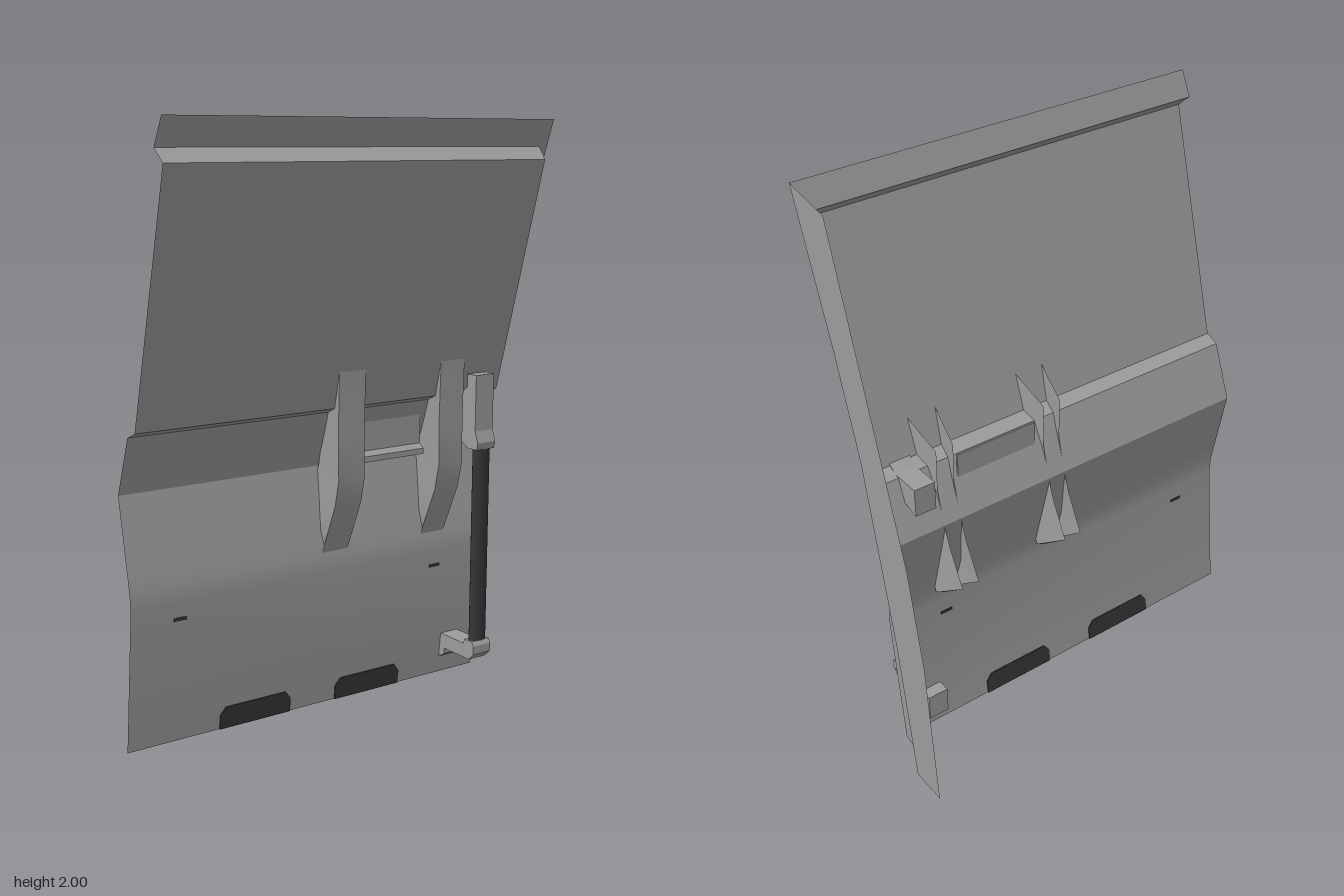
import * as THREE from 'three';
import { toCreasedNormals } from 'three/addons/utils/BufferGeometryUtils.js';

const grey = new THREE.MeshStandardMaterial({ name: 'panelGrey', color: 0x9c9c9c, side: THREE.DoubleSide });
const dark = new THREE.MeshStandardMaterial({ name: 'darkRubber', color: 0x363636, side: THREE.DoubleSide });

function mesh(name, geometry, material = grey) {
  const m = new THREE.Mesh(geometry, material);
  m.name = name;
  return m;
}

// Sheet of quads spanning two edge lines with the same number of [x, y, z] points
function sheet(name, a, b, material = grey) {
  const pos = [];
  for (let i = 0; i < a.length - 1; i++) {
    pos.push(...a[i], ...a[i + 1], ...b[i + 1], ...a[i], ...b[i + 1], ...b[i]);
  }
  const g = new THREE.BufferGeometry();
  g.setAttribute('position', new THREE.Float32BufferAttribute(pos, 3));
  g.computeVertexNormals();
  return mesh(name, toCreasedNormals(g, 0.35), material);
}

// Solid with a [z, y] outline, running from x0 to x1
function sideSolid(name, outline, x0, x1, material = grey) {
  const shape = new THREE.Shape(outline.map(([z, y]) => new THREE.Vector2(-z, y)));
  const g = new THREE.ExtrudeGeometry(shape, { depth: x1 - x0, bevelEnabled: false });
  g.rotateY(Math.PI / 2);
  g.translate(x0, 0, 0);
  return mesh(name, g, material);
}

// z on a [y, z] line listed from top to bottom
function zAt(line, y) {
  for (let i = 0; i < line.length - 1; i++) {
    const [y0, z0] = line[i], [y1, z1] = line[i + 1];
    if (y <= y0 && y >= y1) return z0 + (z1 - z0) * (y0 - y) / (y0 - y1);
  }
  return line[line.length - 1][1];
}

// [y, z] profiles
const panelLine = [[1.87, 0.307], [1.52, 0.213], [1.18, 0.122], [1.075, 0.093], [1.055, 0.045], [0.86, -0.03],
  [0.62, 0.018], [0.56, 0.03], [0.5, 0.034], [0.02, -0.015]];
const flangeLine = [[1.912, 0.255], [1.52, 0.12], [1.18, 0.02], [0.86, -0.04], [0.535, -0.10], [0.02, -0.167]];
const wallFront = [[2, 0.285], [1.52, 0.12], [1.18, 0.02], [0.86, -0.04], [0.535, -0.10], [0, -0.17]];
const wallBack = [[1.97, 0.10], [1.5, -0.036], [1.21, -0.12], [0.91, -0.205], [0.56, -0.265], [0, -0.305]];
const at = (line, x) => line.map(([y, z]) => [x, y, z]);

// Channel bracket: front strip and two tapering side plates, open at the back
function bracket(x0, x1) {
  const group = new THREE.Group();
  group.name = 'hingeBracket';
  const front = [[1.2, 0.128], [1.0, 0.122], [0.84, 0.125], [0.75, 0.105], [0.65, 0.062], [0.555, 0.02]];
  const back = [[1.13, 0.0], [0.98, 0.005], [0.87, -0.02], [0.78, -0.05], [0.65, -0.115], [0.56, 0.0]];
  group.add(sheet('bracketFront', at(front, x0), at(front, x1)));
  group.add(sheet('bracketSideRight', at(front, x0), at(back, x0 + 0.02)));
  group.add(sheet('bracketSideLeft', at(back, x1 - 0.02), at(front, x1)));
  return group;
}

export function createModel() {
  const model = new THREE.Group();
  model.name = 'door';

  // Pressed panel
  model.add(sheet('panel', at(panelLine, -0.74), at(panelLine, 0.68)));

  // Lips folded back from the panel
  model.add(sheet('topLip',
    [[-0.74, 1.912, 0.255], [0.7, 1.912, 0.255]], [[-0.74, 1.87, 0.307], [0.68, 1.87, 0.307]]));
  const lipBack = panelLine.map(([y], i) => {
    const ly = i === 0 ? 1.912 : y;
    return [0.7, ly, zAt(flangeLine, ly)];
  });
  model.add(sheet('sideLip', at(panelLine, 0.68), lipBack));

  // Flange strips and side wall
  model.add(sheet('topFlange',
    [[-0.73, 2, 0.285], [0.735, 2, 0.285]], [[-0.74, 1.912, 0.255], [0.7, 1.912, 0.255]]));
  model.add(sheet('sideFlange', at(flangeLine, 0.7), at(wallFront, 0.735)));
  model.add(sheet('sideWall', at(wallFront, 0.735), at(wallBack, 0.735)));

  // Brackets with the handle plate between them
  model.add(bracket(-0.02, 0.085), bracket(0.4, 0.503));
  model.add(sideSolid('handlePlate',
    [[0.018, 1.07], [0.024, 1.07], [0.024, 0.9], [0.045, 0.885], [0.045, 0.865], [0.018, 0.865]], 0.09, 0.395));

  // Strut with its upper and lower mounts
  const rod = new THREE.CylinderGeometry(0.035, 0.035, 0.71, 14);
  rod.scale(1, 1, 0.6);
  rod.translate(0.562, 0.535, 0.156);
  model.add(mesh('strutRod', rod, dark));
  model.add(sideSolid('upperMountHead',
    [[0.17, 1.145], [0.125, 1.145], [0.125, 0.885], [0.18, 0.885], [0.185, 0.91], [0.17, 0.95]], 0.521, 0.6));
  model.add(sideSolid('upperMountArm',
    [[0.125, 1.1], [0.06, 1.06], [-0.047, 1.06], [-0.047, 0.96], [0.01, 0.975], [0.1, 0.9], [0.125, 0.89]], 0.523, 0.598));
  model.add(sideSolid('lowerMountCollar',
    [[0.175, 0.19], [0.135, 0.19], [0.125, 0.15], [0.185, 0.145], [0.185, 0.175]], 0.521, 0.6));
  model.add(sideSolid('lowerMountArm',
    [[0.185, 0.145], [0.13, 0.172], [-0.045, 0.172], [-0.045, 0.075], [0.0, 0.085], [0.022, 0.1], [0.022, 0.12],
      [0.16, 0.12]], 0.523, 0.598));

  // Dark pads along the lower edge
  for (const x of [-0.402, 0.06]) {
    const pad = new THREE.Shape();
    [[0, 0], [0.276, 0], [0.276, 0.05], [0.255, 0.077], [0.021, 0.077], [0, 0.05]].forEach(([px, py], i) =>
      i ? pad.lineTo(px, py) : pad.moveTo(px, py));
    const m = mesh('edgePad', new THREE.ExtrudeGeometry(pad, { depth: 0.008, bevelEnabled: false }), dark);
    m.position.set(x, 0.02, -0.019);
    m.rotation.x = Math.atan(0.102);
    model.add(m);
  }

  // Small dark slots
  for (const x of [-0.565, 0.463]) {
    const m = mesh('slot', new THREE.BoxGeometry(0.045, 0.01, 0.006), dark);
    m.position.set(x, 0.447, 0.029);
    model.add(m);
  }
  return model;
}
